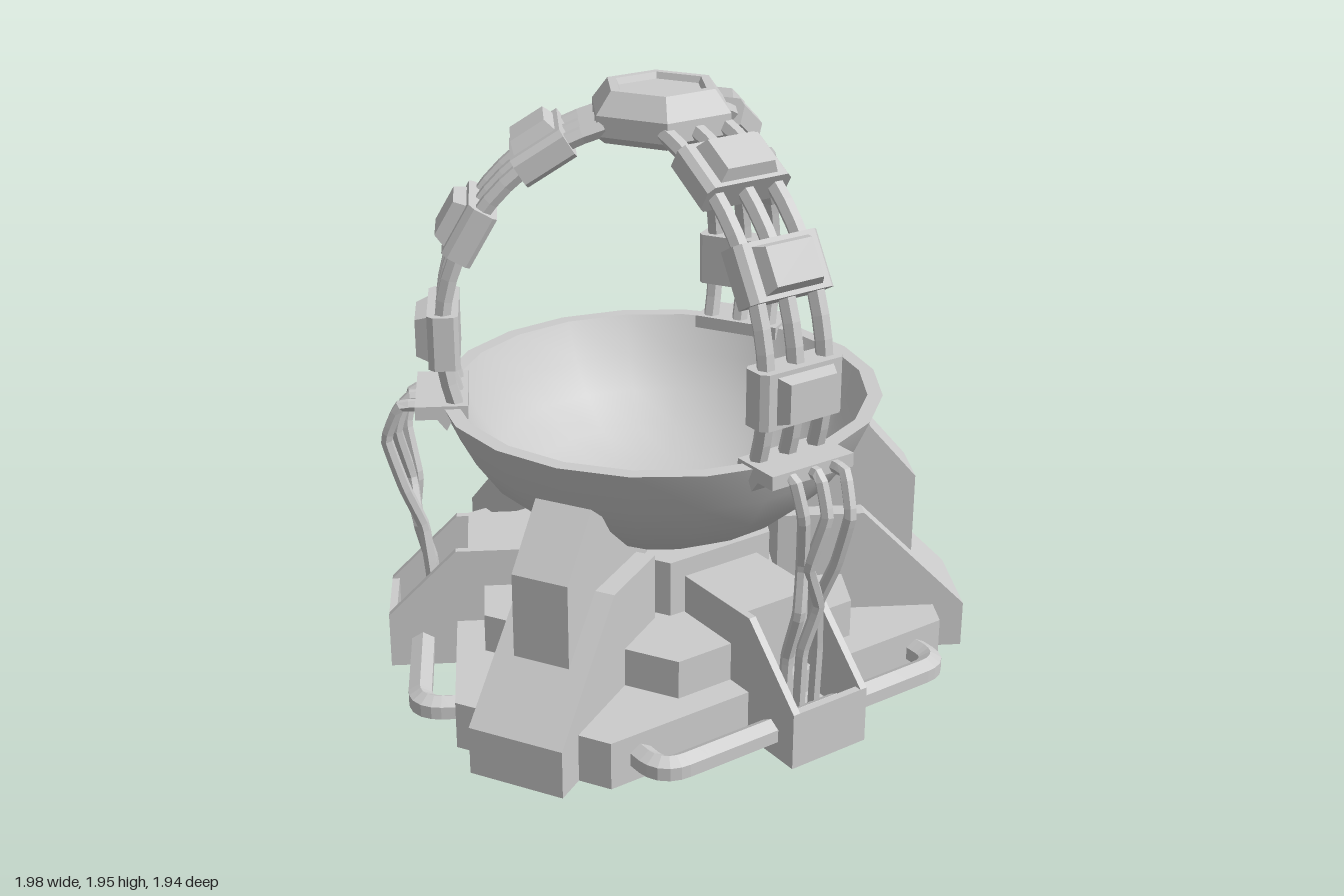
import * as THREE from 'three';

const mat = new THREE.MeshStandardMaterial({ color: 0xcccccc, flatShading: true, side: THREE.DoubleSide });
const smooth = new THREE.MeshStandardMaterial({ color: 0xcccccc, side: THREE.DoubleSide });
const V = (x, y, z) => new THREE.Vector3(x, y, z);
const UP = V(0, 1, 0);

function add(parent, name, geometry, material = mat) {
  const m = new THREE.Mesh(geometry, material);
  m.name = name;
  parent.add(m);
  return m;
}

// Side profile of [radius, height] points, extruded across x around `centre`
function slab(points, width, centre = 0) {
  const shape = new THREE.Shape(points.map(p => new THREE.Vector2(p[0], p[1])));
  return new THREE.ExtrudeGeometry(shape, { depth: width, bevelEnabled: false })
    .rotateY(-Math.PI / 2).translate(centre + width / 2, 0, 0);
}

// Drops the faces lying on the ground, leaving a hollow shell
function openBelow(geometry) {
  const p = geometry.attributes.position, kept = [];
  for (let i = 0; i < p.count; i += 3) {
    if (Math.max(p.getY(i), p.getY(i + 1), p.getY(i + 2)) < 0.001) continue;
    for (let j = i; j < i + 3; j++) kept.push(p.getX(j), p.getY(j), p.getZ(j));
  }
  const shell = new THREE.BufferGeometry();
  shell.setAttribute('position', new THREE.Float32BufferAttribute(kept, 3));
  shell.computeVertexNormals();
  return shell;
}

function box(w, h, d, x, y, z) {
  return new THREE.BoxGeometry(w, h, d).translate(x, y, z);
}

// Stepped shell through six-cornered rings, each [half width of short side, its reach, height]
function steppedShell(rings) {
  const pos = [], index = [];
  rings.forEach(([half, reach, y], r) => {
    for (let i = 0; i < 6; i++) {
      const v = V(i % 2 ? -half : half, y, reach).applyAxisAngle(UP, -Math.floor(i / 2) * Math.PI * 2 / 3);
      pos.push(v.x, v.y, v.z);
      if (r === 0) continue;
      const a1 = r * 6 + i, b1 = r * 6 + (i + 1) % 6;
      index.push(b1 - 6, a1 - 6, a1, b1 - 6, a1, b1);
    }
  });
  const g = new THREE.BufferGeometry();
  g.setAttribute('position', new THREE.Float32BufferAttribute(pos, 3));
  g.setIndex(index);
  g.computeVertexNormals();
  return g;
}

function tube(points, radius, segments, tension = 0.5) {
  const curve = new THREE.CatmullRomCurve3(points, false, 'catmullrom', tension);
  return new THREE.TubeGeometry(curve, segments, radius, 6, false);
}

// Sloped foot with a bowl support standing on it
function buildFoot() {
  const g = new THREE.Group();
  g.name = 'foot';
  add(g, 'footBody', openBelow(slab([[0.38, 0], [1.025, 0], [1.025, 0.16], [0.67, 0.515], [0.38, 0.515]], 0.32)));
  add(g, 'bowlSupport', slab([[0.3, 0.47], [0.6, 0.5], [0.85, 0.33], [0.85, 0.615], [0.69, 0.8], [0.3, 0.5]], 0.19));
  return g;
}

// Open trough that takes the cables
function buildTrough() {
  const g = new THREE.Group();
  g.name = 'cableTrough';
  const side = [[0.35, 0], [0.92, 0], [0.92, 0.19], [0.69, 0.42], [0.35, 0.42]];
  for (const s of [-1, 1]) add(g, 'troughSide', slab(side, 0.025, s * 0.1325));
  add(g, 'troughEnd', box(0.24, 0.19, 0.025, 0, 0.095, 0.9075));
  add(g, 'troughFloor', box(0.24, 0.02, 0.26, 0, 0.07, 0.775));
  add(g, 'troughBack', openBelow(slab([[0.35, 0], [0.65, 0], [0.65, 0.42], [0.35, 0.42]], 0.24)));
  return g;
}

// Handle rail with rounded corners running round a trough
function buildHandle() {
  const path = new THREE.CurvePath();
  const t = 0.555, r0 = 0.62, r1 = 0.81, c = 0.08, y = 0.08;
  path.add(new THREE.LineCurve3(V(-t, y, r0), V(-t, y, r1 - c)));
  path.add(new THREE.QuadraticBezierCurve3(V(-t, y, r1 - c), V(-t, y, r1), V(c - t, y, r1)));
  path.add(new THREE.LineCurve3(V(c - t, y, r1), V(t - c, y, r1)));
  path.add(new THREE.QuadraticBezierCurve3(V(t - c, y, r1), V(t, y, r1), V(t, y, r1 - c)));
  path.add(new THREE.LineCurve3(V(t, y, r1 - c), V(t, y, r0)));
  return new THREE.TubeGeometry(path, 60, 0.043, 6, false);
}

// Clamp block with chamfered outer edges and a bevelled pad
function buildClamp() {
  const g = new THREE.Group();
  g.name = 'clamp';
  const outline = [[-0.155, -0.04], [-0.14, -0.055], [0.14, -0.055], [0.155, -0.04],
    [0.155, 0.025], [0.135, 0.045], [-0.135, 0.045], [-0.155, 0.025]];
  const shape = new THREE.Shape(outline.map(p => new THREE.Vector2(p[0], -p[1])));
  add(g, 'clampBlock', new THREE.ExtrudeGeometry(shape, { depth: 0.18, bevelEnabled: false })
    .rotateX(-Math.PI / 2).translate(0, -0.09, 0));
  const pad = new THREE.CylinderGeometry(0.82 * Math.SQRT2, Math.SQRT2, 0.04, 4)
    .rotateY(Math.PI / 4).scale(0.105, 1, 0.075).rotateX(Math.PI / 2).translate(0, 0, 0.065);
  add(g, 'clampPad', pad);
  return g;
}

// Curved arm of three pipes with clamps, rim bracket and hanging cables
function buildArm() {
  const g = new THREE.Group();
  g.name = 'arm';
  const R = 0.705, cy = 1.155;
  const at = (x, a) => V(x, cy + R * Math.sin(a), R * Math.cos(a));
  for (const x of [-0.11, 0, 0.11]) {
    const pts = [];
    for (let i = 0; i <= 10; i++) pts.push(at(x, THREE.MathUtils.degToRad(-18 + i * 9.3)));
    add(g, 'armPipe', tube(pts, 0.029, 16));
  }
  for (const deg of [0, 30, 58]) {
    const a = THREE.MathUtils.degToRad(deg);
    const clamp = buildClamp();
    clamp.position.copy(at(0, a));
    clamp.rotation.x = -a;
    g.add(clamp);
  }
  add(g, 'rimBracket', slab([[0.63, 0.9], [0.68, 0.9], [0.7, 0.86], [0.73, 0.9], [0.8, 0.9], [0.8, 0.945], [0.63, 0.945]], 0.31));
  // Kinked cables that cross on the way down
  for (const s of [-1, 0, 1]) {
    const drift = s === 0 ? -0.03 : 0.01;
    add(g, 'cable', tube([
      V(s * 0.08, 0.92, 0.74), V(s * 0.08, 0.92, 0.83 + s * 0.02), V(s * 0.065, 0.8, 0.87 + s * 0.03),
      V(s * 0.05 + drift, 0.62, 0.83 + s * 0.02), V(s * 0.05 - drift, 0.47, 0.81 - s * 0.015),
      V(s * 0.06, 0.3, 0.775), V(s * 0.06, 0.07, 0.765)], 0.021, 36, 0.15));
  }
  return g;
}

export function createModel() {
  const root = new THREE.Group();
  root.name = 'bowlStand';
  const body = new THREE.Group();
  body.name = 'body';
  body.position.z = -0.05;
  root.add(body);

  // Hollow stepped base, closed at the top of the hub
  add(body, 'steppedBase', steppedShell([[0.27, 0.92, 0], [0.27, 0.92, 0.16], [0.346, 0.6, 0.16],
    [0.346, 0.6, 0.29], [0.2, 0.346, 0.29], [0.2, 0.346, 0.48], [0, 0, 0.48]]));

  // Bowl
  const section = pts => new THREE.LatheGeometry(pts.map(p => new THREE.Vector2(p[0], p[1])), 20);
  add(body, 'bowlOutside', section([[0, 0.46], [0.18, 0.465], [0.32, 0.488], [0.46, 0.565], [0.58, 0.67], [0.665, 0.79], [0.73, 0.935]]), smooth);
  add(body, 'bowlRim', section([[0.73, 0.935], [0.68, 0.935]]));
  add(body, 'bowlInside', section([[0.68, 0.935], [0.62, 0.81], [0.54, 0.7], [0.43, 0.605], [0.3, 0.54], [0.15, 0.515], [0, 0.51]]), smooth);

  // Three feet, with three arms, troughs and handles between them
  for (let k = 0; k < 3; k++) {
    const foot = buildFoot();
    foot.rotation.y = k * Math.PI * 2 / 3;
    body.add(foot);
    const station = new THREE.Group();
    station.name = 'armStation';
    station.rotation.y = Math.PI + k * Math.PI * 2 / 3;
    station.add(buildArm(), buildTrough());
    add(station, 'handle', buildHandle());
    body.add(station);
  }

  // Six-sided crown with a recessed top
  const crown = [[0, 1.785], [0.21, 1.785], [0.24, 1.81], [0.24, 1.875], [0.185, 1.945], [0.155, 1.945], [0.145, 1.925], [0, 1.925]];
  add(body, 'crown', new THREE.LatheGeometry(crown.map(p => new THREE.Vector2(p[0], p[1])), 6, Math.PI / 6));
  return root;
}
